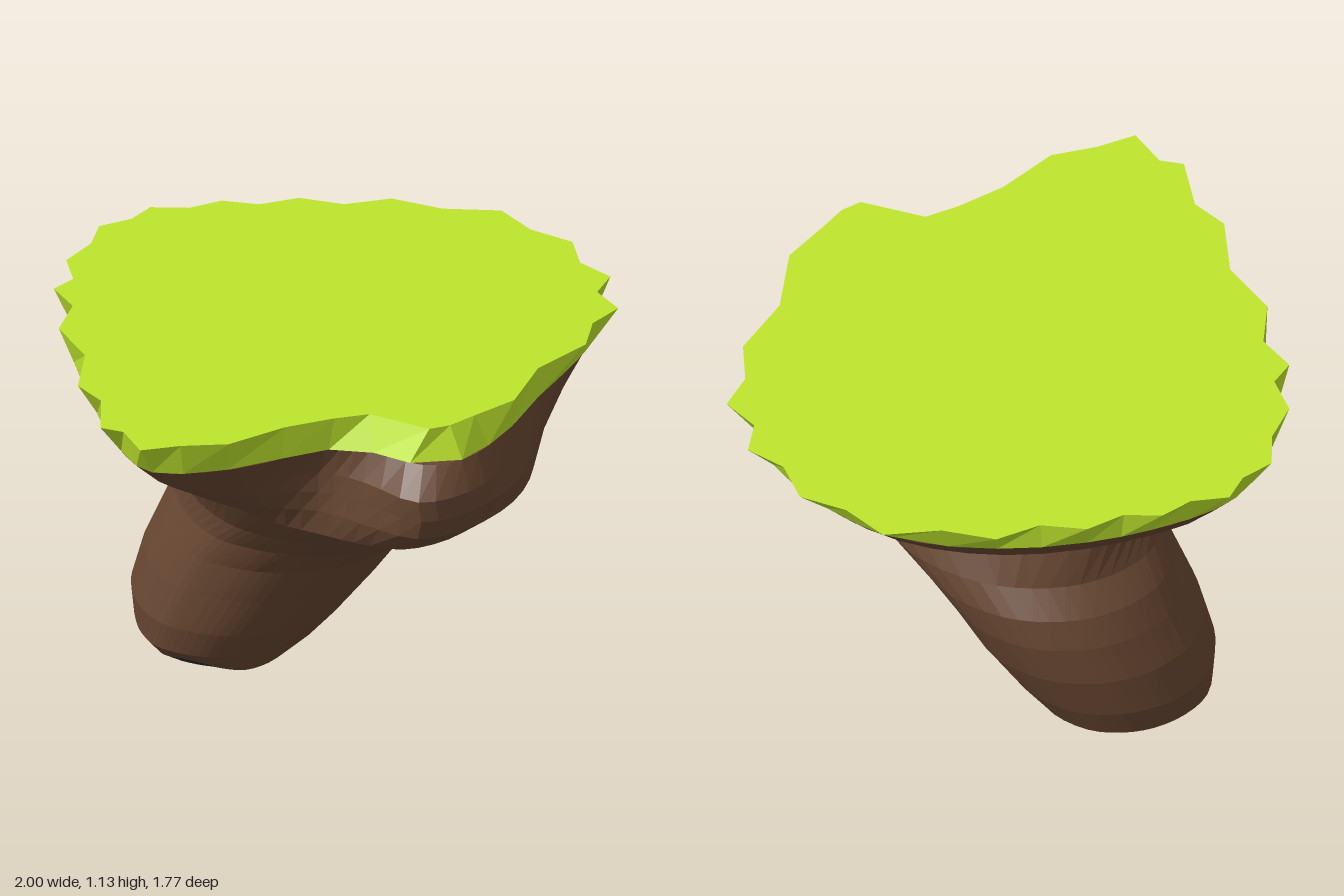
import * as THREE from 'three';

// Turf rim as x, z pairs: left, back, right, front, then the notch
const RIM = [
  -1, .22, -.93, .1, -.95, .03, -.8, -.09, -.76, -.21, -.58, -.33, -.48, -.51, -.33, -.58, -.27, -.7, -.18, -.7,
  -.09, -.8, .05, -.82, .16, -.88, .26, -.84, .36, -.85, .43, -.76, .53, -.72, .58, -.62, .69, -.56, .74, -.43,
  .86, -.35, .9, -.19, 1, -.05, .95, .1, .96, .25, .86, .36, .84, .49, .73, .53, .68, .65, .55, .66,
  .42, .74, .2, .74, -.02, .83, -.18, .81, -.28, .8, -.34, .77, -.37, .57, -.46, .51, -.6, .44, -.8, .39, -.9, .29];

// Soil sections, same order and same number of points each
const SOIL_TOP = [
  -.92, .2, -.84, 0, -.62, -.28, -.38, -.55, -.05, -.77, .25, -.81, .55, -.63, .8, -.32, .9, 0,
  .82, .35, .62, .6, .2, .74, -.05, .82, -.28, .845, -.38, .78, -.41, .6, -.48, .49, -.75, .37];
const SOIL_MID = [
  -.82, .2, -.74, 0, -.55, -.26, -.34, -.5, -.04, -.69, .24, -.73, .5, -.57, .72, -.3, .81, 0,
  .75, .32, .56, .56, .2, .75, -.05, .845, -.3, .885, -.45, .82, -.44, .6, -.47, .46, -.67, .34];
const SOIL_LOW = [
  -.6, .2, -.55, 0, -.42, -.18, -.26, -.35, -.03, -.47, .16, -.49, .34, -.41, .44, -.22, .48, 0,
  .48, .28, .42, .52, .18, .74, -.05, .85, -.28, .865, -.43, .8, -.45, .6, -.46, .45, -.54, .32];
const SOIL_KEEL = [
  -.46, .15, -.42, 0, -.35, -.14, -.23, -.28, -.04, -.4, .16, -.43, .32, -.37, .42, -.2, .45, 0,
  .43, .25, .34, .48, .15, .66, -.05, .74, -.24, .76, -.38, .7, -.43, .56, -.45, .43, -.47, .29];

// Trunk sections: y, min x, max x, min z, max z, corner cut, ripple
const TRUNK = [
  [.62, -.36, .5, -.45, .54, .11, 0], [.54, -.32, .52, -.5, .39, .13, 0], [.45, -.31, .515, -.54, .27, .12, 0],
  [.33, -.31, .485, -.59, .18, .11, 0], [.2, -.31, .43, -.62, .08, .12, 0], [.11, -.29, .38, -.61, 0, .15, 0],
  [.06, -.24, .28, -.55, -.04, .18, .012]];
const TIP = [
  TRUNK[TRUNK.length - 1], [.025, -.18, .21, -.47, -.14, .18, .003], [.005, -.11, .1, -.38, -.24, .15, 0]];

function section(flat, y) {
  const points = [];
  for (let i = 0; i < flat.length; i += 2) points.push(new THREE.Vector3(flat[i], y, flat[i + 1]));
  return points;
}

// Closed smooth ring through the section points
function smoothRing(points, perSpan = 3) {
  const curve = new THREE.CatmullRomCurve3(points, true, 'centripetal');
  return curve.getPoints(points.length * perSpan).slice(0, -1);
}

// Oval flattened at the front left and back right, lined up with the low soil section
function oval([y, x0, x1, z0, z1, cut, ripple]) {
  return section(SOIL_LOW, y).map((p) => {
    const a = Math.atan2((p.z - .19) / .68, (p.x + .06) / .54);
    const diagonal = Math.sin(2 * a);
    const r = 1 - cut * (diagonal > 0 ? diagonal : diagonal / 2);
    return new THREE.Vector3((x0 + x1) / 2 + r * Math.cos(a) * (x1 - x0) / 2, y + ripple * Math.sin(5 * a),
      (z0 + z1) / 2 + r * Math.sin(a) * (z1 - z0) / 2);
  });
}

// Skin of rings from top to bottom, with optional flat ends
function loft(rings, topCap, bottomCap) {
  const n = rings[0].length, index = [];
  for (let r = 0; r < rings.length - 1; r++) {
    for (let i = 0; i < n; i++) {
      const a = r * n + i, b = r * n + (i + 1) % n;
      index.push(a, b, b + n, a, b + n, a + n);
    }
  }
  const cap = (ring, start, up) => {
    const flat = ring.map((p) => new THREE.Vector2(p.x, p.z));
    for (const [a, b, c] of THREE.ShapeUtils.triangulateShape(flat, [])) {
      const facesUp = THREE.ShapeUtils.area([flat[a], flat[b], flat[c]]) < 0;
      if (facesUp === up) index.push(start + a, start + b, start + c);
      else index.push(start + a, start + c, start + b);
    }
  };
  if (topCap) cap(rings[0], 0, true);
  if (bottomCap) cap(rings[rings.length - 1], (rings.length - 1) * n, false);
  const geometry = new THREE.BufferGeometry().setFromPoints(rings.flat());
  geometry.setIndex(index);
  geometry.computeVertexNormals();
  return geometry;
}

export function createModel() {
  const group = new THREE.Group();
  const add = (name, geometry, color) => {
    const mesh = new THREE.Mesh(geometry, new THREE.MeshStandardMaterial({ color, flatShading: true }));
    mesh.name = name;
    group.add(mesh);
  };

  // Turf: jagged rim sloping in to the smooth edge of the soil
  const rim = section(RIM, 0);
  rim.forEach((p) => { p.y = 1.13 - .01 * p.x; });
  const edge = smoothRing(section(SOIL_TOP, 1.035), 12);
  const hem = rim.map((p, i) => {
    const before = rim.at(i - 1), after = rim[(i + 1) % rim.length];
    const x = (before.x + 2 * p.x + after.x) / 4, z = (before.z + 2 * p.z + after.z) / 4;
    const gap = (q) => Math.hypot(q.x - x, q.z - z);
    return edge.reduce((best, q) => (gap(q) < gap(best) ? q : best));
  });
  add('turf', loft([rim, hem], true, false), 0xbee62d);

  // Soil: notched overhang leaning back into the trunk
  const mid = section(SOIL_MID, .95), low = section(SOIL_LOW, .82);
  const between = mid.map((p, i) => p.clone().lerp(low[i], .5));
  // the front bulges a little between the two sections
  between.forEach((p) => { if (p.z > .75) p.z += .012; });
  const soil = [section(SOIL_TOP, 1.035), mid, between, low, section(SOIL_KEEL, .74), ...TRUNK.map(oval)];
  add('soil', loft(soil.map((s) => smoothRing(s)), true, false), 0x684732);

  // Stone tip under the trunk
  add('stoneTip', loft(TIP.map((s) => smoothRing(oval(s))), false, true), 0x2e3034);

  return group;
}
